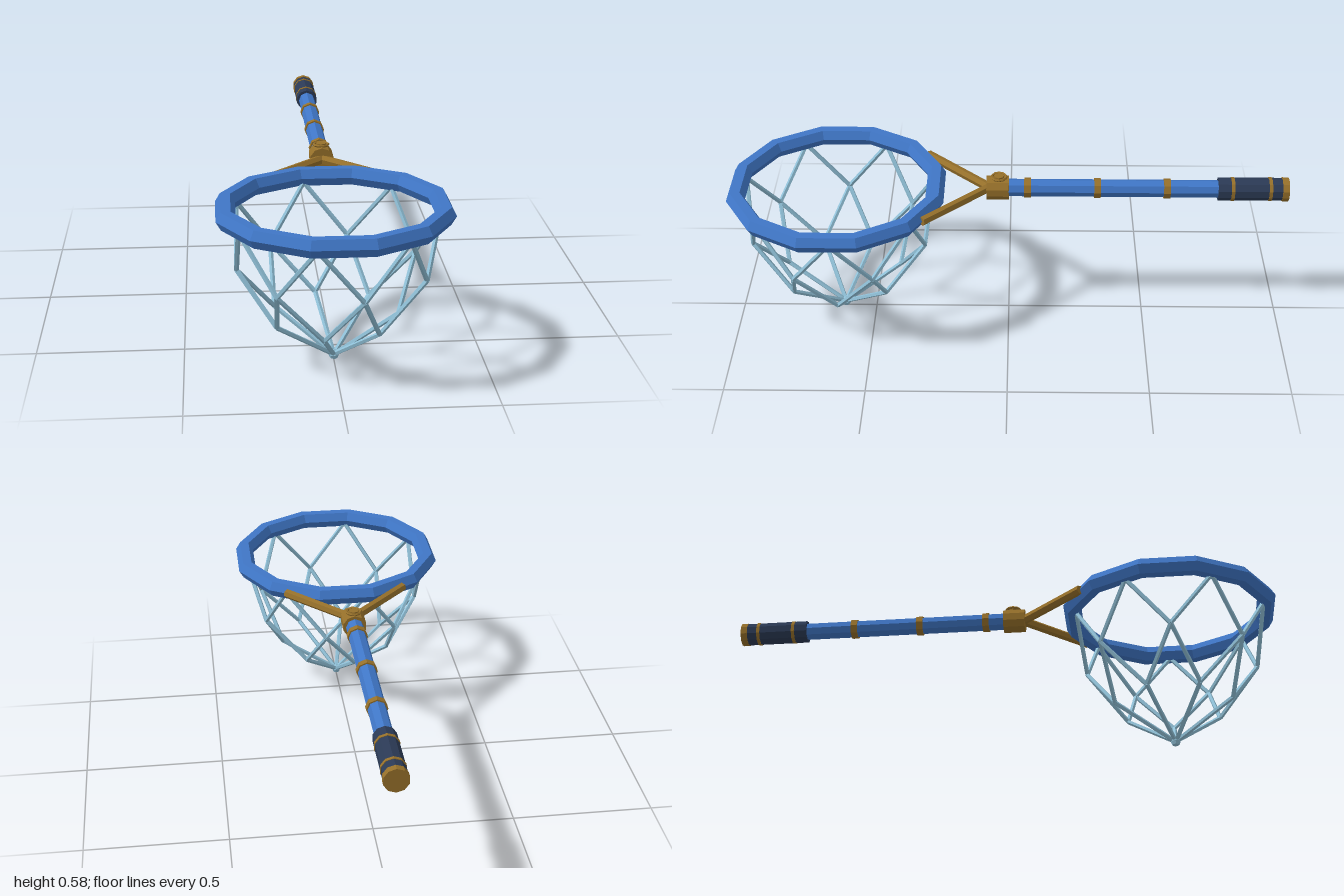
import * as THREE from 'three';

const material = (name, color) => {
  const m = new THREE.MeshStandardMaterial({ color, flatShading: true });
  m.name = name;
  return m;
};

export function createModel() {
  const blue = material('blue', 0x3f76c6);
  const brass = material('brass', 0x96702a);
  const navy = material('navy', 0x2b3a55);
  const cord = material('pale blue cord', 0x8fbfd6);

  const model = new THREE.Group();
  model.name = 'landingNet';
  const Y = 0.533;      // height of the handle and hoop
  const HOOP_Z = 0.615; // centre of the hoop
  const UP = new THREE.Vector3(0, 1, 0);

  const add = (name, geometry, mat, parent = model) => {
    const mesh = new THREE.Mesh(geometry, mat);
    mesh.name = name;
    parent.add(mesh);
    return mesh;
  };

  // Straight rod between two points
  const rod = (name, a, b, radius, sides, mat, parent = model) => {
    const dir = b.clone().sub(a);
    const mesh = add(name, new THREE.CylinderGeometry(radius, radius, dir.length(), sides), mat, parent);
    mesh.position.copy(a).add(b).multiplyScalar(0.5);
    mesh.quaternion.setFromUnitVectors(UP, dir.normalize());
    return mesh;
  };
  const along = (name, z0, z1, radius, sides, mat) =>
    rod(name, new THREE.Vector3(0, Y, z0), new THREE.Vector3(0, Y, z1), radius, sides, mat);

  // Twelve-sided hoop with a hexagonal section
  const hoop = new THREE.TorusGeometry(0.3646, 0.034, 6, 12);
  hoop.rotateZ(Math.PI / 12).rotateX(Math.PI / 2);
  add('hoop', hoop, blue).position.set(0, Y, HOOP_Z);

  // Handle, its bands and the grip
  along('pole', 0.03, -0.76, 0.032, 8, blue);
  for (const z of [-0.067, -0.317, -0.566]) along('poleBand', z + 0.012, z - 0.012, 0.037, 8, brass);
  along('grip', -0.748, -0.985, 0.041, 10, navy);
  for (const z of [-0.8, -0.934]) along('gripBand', z + 0.006, z - 0.006, 0.043, 10, brass);
  along('endCap', -0.976, -1, 0.043, 10, brass);

  // Socket with a locking screw on top
  along('socket', 0.08, 0, 0.043, 10, brass);
  add('screwNeck', new THREE.CylinderGeometry(0.018, 0.018, 0.02, 8), brass).position.set(0, Y + 0.04, 0.035);
  const screwRing = add('screwRing', new THREE.TorusGeometry(0.026, 0.005, 5, 10), brass);
  screwRing.rotation.x = Math.PI / 2;
  screwRing.position.set(0, Y + 0.045, 0.035);

  // Forked arms joining the socket to the hoop
  for (const s of [-1, 1]) {
    rod('forkArm', new THREE.Vector3(0, Y, 0.07), new THREE.Vector3(s * 0.22, Y, 0.3), 0.017, 6, brass);
  }

  // Net: seven-fold diamond mesh gathered at the bottom
  const net = new THREE.Group();
  net.name = 'net';
  model.add(net);
  const N = 7;
  const levels = [[0, 0.018], [0.215, 0.16], [0.32, 0.33], [0.349, 0.515]];
  const node = (level, halfStep) => {
    const a = (halfStep * Math.PI) / N;
    const [r, y] = levels[level];
    return new THREE.Vector3(r * Math.cos(a), y, HOOP_Z + r * Math.sin(a));
  };
  for (let i = 0; i < N; i++) {
    const k = 2 * i;
    rod('netStrand', node(0, 0), node(1, k), 0.0085, 5, cord, net);
    for (const s of [-1, 1]) {
      rod('netStrand', node(1, k), node(2, k + s), 0.0085, 5, cord, net);
      rod('netStrand', node(2, k + s), node(3, k), 0.0085, 5, cord, net);
    }
  }
  add('netKnot', new THREE.SphereGeometry(0.018, 7, 4), cord, net).position.set(0, 0.018, HOOP_Z);

  return model;
}
